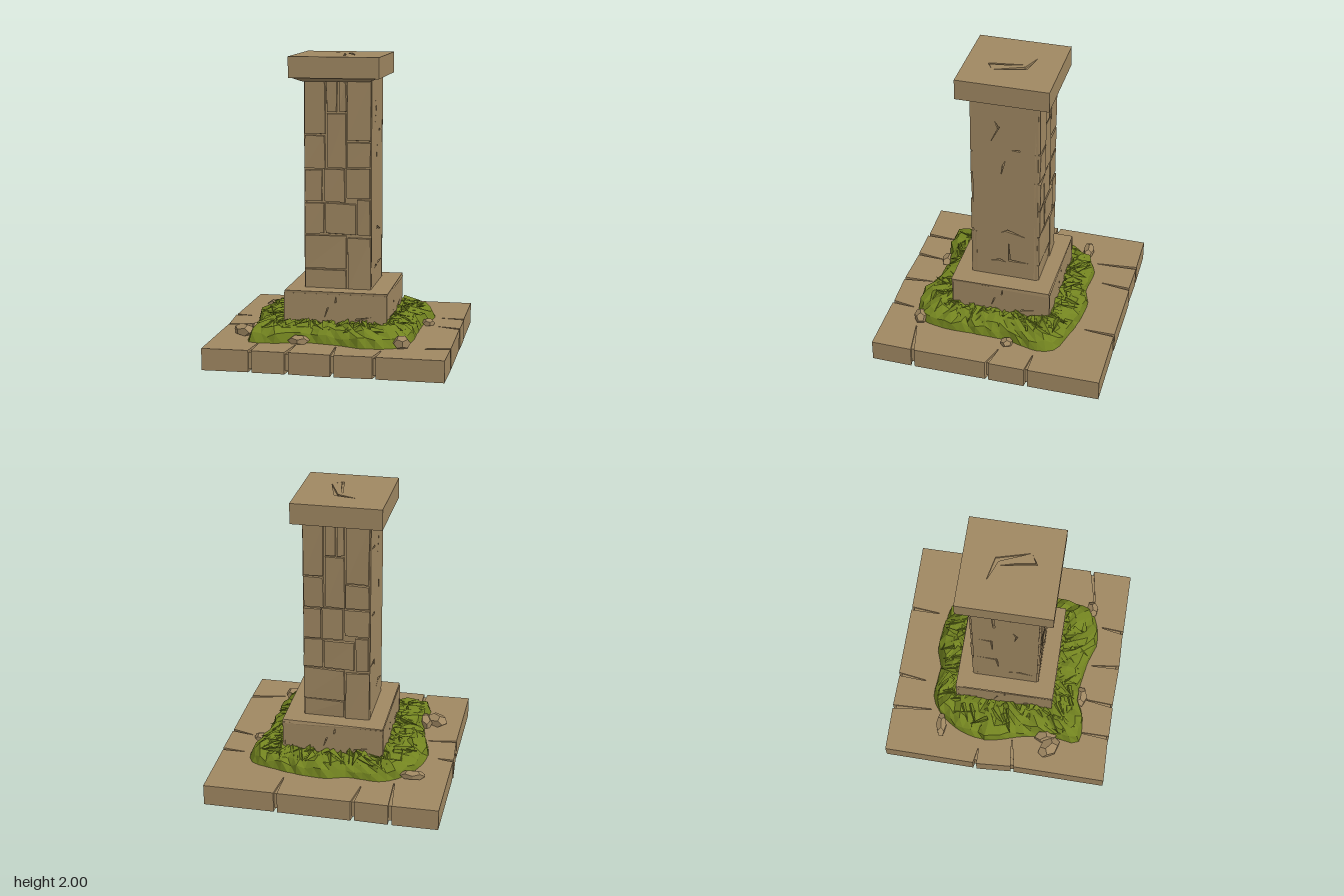
import * as THREE from 'three';
import { mergeGeometries } from 'three/addons/utils/BufferGeometryUtils.js';

const V2 = (x, y) => new THREE.Vector2(x, y);

export function createModel() {
  const root = new THREE.Group();
  root.name = 'stonePillar';
  const stone = new THREE.MeshStandardMaterial({ color: 0xa08862 });
  stone.name = 'sandstone';
  const moss = new THREE.MeshStandardMaterial({ color: 0x738420 });
  moss.name = 'moss green';

  let seed = 7;
  const rnd = () => (seed = (seed * 16807) % 2147483647) / 2147483647;
  const jit = (a) => (rnd() * 2 - 1) * a;

  function add(name, geo, mat = stone, parent = root) {
    const m = new THREE.Mesh(geo, mat);
    m.name = name;
    parent.add(m);
    return m;
  }
  function flat(geo) {
    const g = geo.index ? geo.toNonIndexed() : geo;
    g.computeVertexNormals();
    return g;
  }
  // Box given by its limits, with every corner moved by a rule
  function block(x0, x1, y0, y1, z0, z1, move) {
    const g = new THREE.BoxGeometry(2, 2, 2), p = g.attributes.position, seen = {};
    for (let i = 0; i < p.count; i++) {
      const s = [p.getX(i), p.getY(i), p.getZ(i)];
      seen[s] ??= (move ? move(...s) : [0, 0, 0]);
      const d = seen[s];
      p.setXYZ(i, (s[0] < 0 ? x0 : x1) + d[0], (s[1] < 0 ? y0 : y1) + d[1], (s[2] < 0 ? z0 : z1) + d[2]);
    }
    return flat(g);
  }
  // Thin tapering crack along a line of points
  function crack(pts, w = 0.014) {
    const a = pts.map((p) => V2(...p));
    const back = pts.slice(1, -1).reverse().map((p) => V2(p[0] + w, p[1] + w));
    return new THREE.Path(a.concat(back));
  }
  // Upright panel with cracks cut through it, turned to face one side
  function panel(name, w, y0, y1, dist, angle, cracks) {
    const s = new THREE.Shape([V2(-w, y0), V2(w, y0), V2(w, y1), V2(-w, y1)]);
    s.holes = cracks.map((c) => crack(c));
    const g = new THREE.ExtrudeGeometry(s, { depth: 0.015, bevelEnabled: false });
    g.translate(0, 0, dist - 0.015).rotateY(angle);
    add(name, g);
  }

  // Base slab: outline with joints cut in from each edge [position, depth, slant]
  const joints = [
    [[-0.47, 0.22, 0.01], [-0.23, 0.2, 0.02], [0.07, 0.2, -0.015], [0.34, 0.16, 0.02]],
    [[-0.5, 0.24, -0.05], [0.02, 0.15, 0.04], [0.29, 0.15, 0.01]],
    [[-0.3, 0.21, 0.01], [0.22, 0.2, 0.02], [0.47, 0.28, -0.02]],
    [[-0.14, 0.1, 0.01], [0.13, 0.2, -0.03]],
  ];
  const outline = [];
  joints.forEach((side, k) => {
    const put = (u, v) => outline.push(V2(u, -v).rotateAround(V2(0, 0), k * Math.PI / 2));
    put(-0.79, 0.79);
    for (const [u, depth, slant] of side) {
      const v = 0.79 + jit(0.008);
      put(u - 0.012, v);
      put(u + slant - 0.003, 0.79 - depth);
      put(u + slant + 0.003, 0.79 - depth);
      put(u + 0.012, v + jit(0.006));
    }
  });
  const slab = new THREE.Shape(outline);
  for (let k = 0; k < 4; k++) {
    const turn = (x, y) => V2(x, y).rotateAround(V2(0, 0), k * Math.PI / 2);
    slab.holes.push(new THREE.Path([turn(-0.24, -0.27), turn(0.25, -0.27), turn(0.25, -0.255), turn(-0.24, -0.255)]));
    slab.holes.push(new THREE.Path([turn(-0.3, -0.44), turn(-0.05, -0.41), turn(0.2, -0.42), turn(-0.05, -0.395)]));
  }
  add('baseSlab', new THREE.ExtrudeGeometry(slab, { depth: 0.145, bevelEnabled: false }).rotateX(-Math.PI / 2));
  add('baseCore', block(-0.77, 0.77, 0.02, 0.13, -0.77, 0.77));

  // Plinth
  add('plinthCore', block(-0.325, 0.335, 0.14, 0.43, -0.325, 0.335));
  for (let k = 0; k < 4; k++) {
    panel('plinthSide', 0.342, 0.14, 0.435, k < 2 ? 0.35 : 0.34, k * Math.PI / 2,
      [[[-0.07, 0.27], [-0.05, 0.34], [0.0, 0.37], [0.01, 0.425]], [[0.1, 0.17], [0.13, 0.26], [0.25, 0.29]]]);
  }
  add('plinthTop', block(-0.335, 0.35, 0.425, 0.448, -0.34, 0.35, (x, y) => [jit(0.006), y > 0 ? jit(0.004) : 0, jit(0.006)]));

  // Shaft core with stones on the front and back [x0, x1, y0, y1]
  add('shaftCore', block(-0.215, 0.21, 0.44, 1.86, -0.222, 0.22));
  const stones = [
    [-0.228, 0.06, 0.445, 0.58], [0.06, 0.23, 0.445, 0.8],
    [-0.228, 0.06, 0.58, 0.815], [-0.228, -0.09, 0.815, 1.03],
    [-0.09, 0.125, 0.815, 1.03], [0.125, 0.225, 0.81, 1.06],
    [-0.228, -0.1, 1.03, 1.255], [-0.1, 0.05, 1.03, 1.26],
    [0.05, 0.225, 1.06, 1.265], [-0.228, -0.08, 1.255, 1.48],
    [-0.08, 0.06, 1.26, 1.63], [0.06, 0.225, 1.265, 1.44],
    [-0.228, -0.08, 1.48, 1.85], [-0.08, 0.0, 1.63, 1.85],
    [0.0, 0.06, 1.63, 1.85], [0.06, 0.225, 1.44, 1.85],
  ];
  for (const side of [1, -1]) {
    const face = new THREE.Group();
    face.name = side > 0 ? 'frontStones' : 'backStones';
    if (side < 0) face.rotation.y = Math.PI;
    root.add(face);
    for (const [x0, x1, y0, y1] of stones) {
      const inset = () => 0.002 + rnd() * 0.009;
      add('stone', block(x0, x1, y0, y1, 0.2, 0.236, (x, y, z) => {
        const d = z > 0 ? 1 : 0.4;
        return [-x * inset() * d, -y * inset() * d, z > 0 ? jit(0.005) : 0];
      }), stone, face);
    }
  }
  // Plainer left and right faces with scattered cracks
  panel('shaftLeftSide', 0.222, 0.45, 1.85, 0.225, Math.PI / 2, [
    [[-0.1, 1.53], [-0.05, 1.64], [-0.07, 1.7], [-0.045, 1.66], [0.0, 1.65]],
    [[0.03, 1.49], [0.1, 1.485], [0.11, 1.54]],
    [[-0.03, 1.28], [-0.02, 1.36], [0.0, 1.4]],
    [[-0.04, 0.81], [0.0, 0.83], [0.14, 0.8]],
    [[0.02, 0.77], [0.02, 0.58], [0.17, 0.585]],
    [[-0.11, 0.565], [-0.05, 0.575], [0.0, 0.57]],
  ]);
  panel('shaftRightSide', 0.222, 0.45, 1.85, 0.228, -Math.PI / 2, [
    [[-0.2, 1.68], [-0.09, 1.66], [-0.08, 1.45], [-0.2, 1.42]],
    [[0.02, 1.58], [0.05, 1.68], [0.11, 1.72]],
    [[-0.18, 1.2], [-0.1, 1.18], [-0.09, 1.02]],
    [[0.06, 1.25], [0.07, 1.33], [0.05, 1.4]],
    [[-0.2, 0.84], [-0.07, 0.82], [-0.05, 0.66]],
    [[0.0, 0.58], [0.08, 0.6], [0.19, 0.58]],
  ]);

  // Cap: shallow sloping underside, body and a cracked top
  add('capUnderside', block(-0.31, 0.285, 1.835, 1.865, -0.305, 0.31,
    (x, y, z) => y < 0 ? [-x * 0.075, jit(0.006), -z * 0.075] : [0, 0, 0]));
  add('capBody', block(-0.315, 0.288, 1.86, 1.985, -0.305, 0.315));
  const top = new THREE.Shape([V2(-0.315, -0.315), V2(0.288, -0.315), V2(0.288, 0.305), V2(-0.315, 0.305)]);
  top.holes.push(crack([[-0.12, 0.135], [0.04, 0.1], [0.1, -0.12]], -0.022));
  top.holes.push(crack([[-0.01, 0.07], [0.008, -0.05], [0.025, -0.165], [0.09, -0.125]], 0.012));
  add('capTop', new THREE.ExtrudeGeometry(top, { depth: 0.016, bevelEnabled: false })
    .rotateX(-Math.PI / 2).translate(0, 1.984, 0));

  // Moss ring: cross-sections from the plinth out to an uneven rim
  const rim = new THREE.CatmullRomCurve3([
    [-0.62, -0.1], [-0.57, -0.3], [-0.47, -0.44], [-0.36, -0.51], [-0.12, -0.5], [0, -0.54], [0.25, -0.52],
    [0.4, -0.48], [0.55, -0.43], [0.59, -0.32], [0.54, -0.1], [0.53, 0.1], [0.52, 0.4], [0.46, 0.55],
    [0.22, 0.61], [0.1, 0.57], [-0.2, 0.53], [-0.35, 0.58], [-0.54, 0.57], [-0.53, 0.4], [-0.55, 0.2],
  ].map(([x, z]) => new THREE.Vector3(x, 0.14, z)), true);
  const profile = [[0, 0.235], [0.25, 0.245], [0.5, 0.25], [0.75, 0.235], [0.93, 0.2], [1, 0.14]];
  const N = 72, R = profile.length, pos = [], idx = [];
  const onRing = (u, t, y) => {
    const p = rim.getPointAt(u % 1), k = 0.31 / Math.max(Math.abs(p.x), Math.abs(p.z));
    const s = k + (1 - k) * t;
    return new THREE.Vector3(p.x * s, y, p.z * s);
  };
  for (let i = 0; i < N; i++) {
    profile.forEach(([t, y], j) => {
      const p = onRing(i / N, t + (j > 0 && j < R - 1 ? jit(0.06) : 0), y + (j < R - 1 ? jit(0.018) : 0));
      pos.push(p.x, p.y, p.z);
      if (j === R - 1) return;
      const a = i * R + j, b = ((i + 1) % N) * R + j;
      idx.push(a, a + 1, b, b, a + 1, b + 1);
    });
  }
  const ring = new THREE.BufferGeometry();
  ring.setAttribute('position', new THREE.Float32BufferAttribute(pos, 3));
  ring.setIndex(idx);
  // Rim runs clockwise or not, so turn the faces upward if needed
  const ringFlat = flat(ring);
  if (ringFlat.attributes.normal.getY(0) < 0) {
    for (let i = 0; i < idx.length; i += 3) [idx[i], idx[i + 1]] = [idx[i + 1], idx[i]];
    ring.setIndex(idx);
  }
  add('mossRing', flat(ring), moss);

  // Moss blades lying over the ring
  const blades = [], up = new THREE.Vector3(0, 1, 0);
  for (let i = 0; i < 170; i++) {
    const u = (i + rnd()) / 170, t = 0.15 + rnd() * 0.55;
    const p = onRing(u, t, 0.238 + jit(0.012));
    const dir = new THREE.Vector3(p.x, 0, p.z).normalize().applyAxisAngle(up, jit(1.1));
    dir.y = jit(0.15) - 0.1;
    const g = new THREE.ConeGeometry(0.024, 0.1 + rnd() * 0.06, 3, 1);
    g.applyQuaternion(new THREE.Quaternion().setFromUnitVectors(up, dir.normalize()));
    blades.push(flat(g.translate(p.x, p.y, p.z)));
  }
  add('mossBlades', mergeGeometries(blades), moss);

  // Loose rocks [x, y, z, half width, half height, half depth, turn]
  for (const [x, y, z, a, b, c, r] of [
    [-0.56, 0.17, -0.42, 0.09, 0.035, 0.04, 0.1], [-0.61, 0.17, 0.37, 0.09, 0.045, 0.065, -0.7],
    [0.48, 0.18, 0.54, 0.06, 0.05, 0.045, 0.3], [-0.2, 0.165, 0.545, 0.075, 0.035, 0.05, 0],
    [0.57, 0.16, -0.1, 0.045, 0.03, 0.045, 0.4], [-0.53, 0.17, 0.34, 0.05, 0.05, 0.09, 0.3],
  ]) {
    const g = new THREE.DodecahedronGeometry(1, 0);
    g.scale(a, b, c).rotateY(r).translate(x, y, z);
    add('rock', flat(g));
  }
  return root;
}
